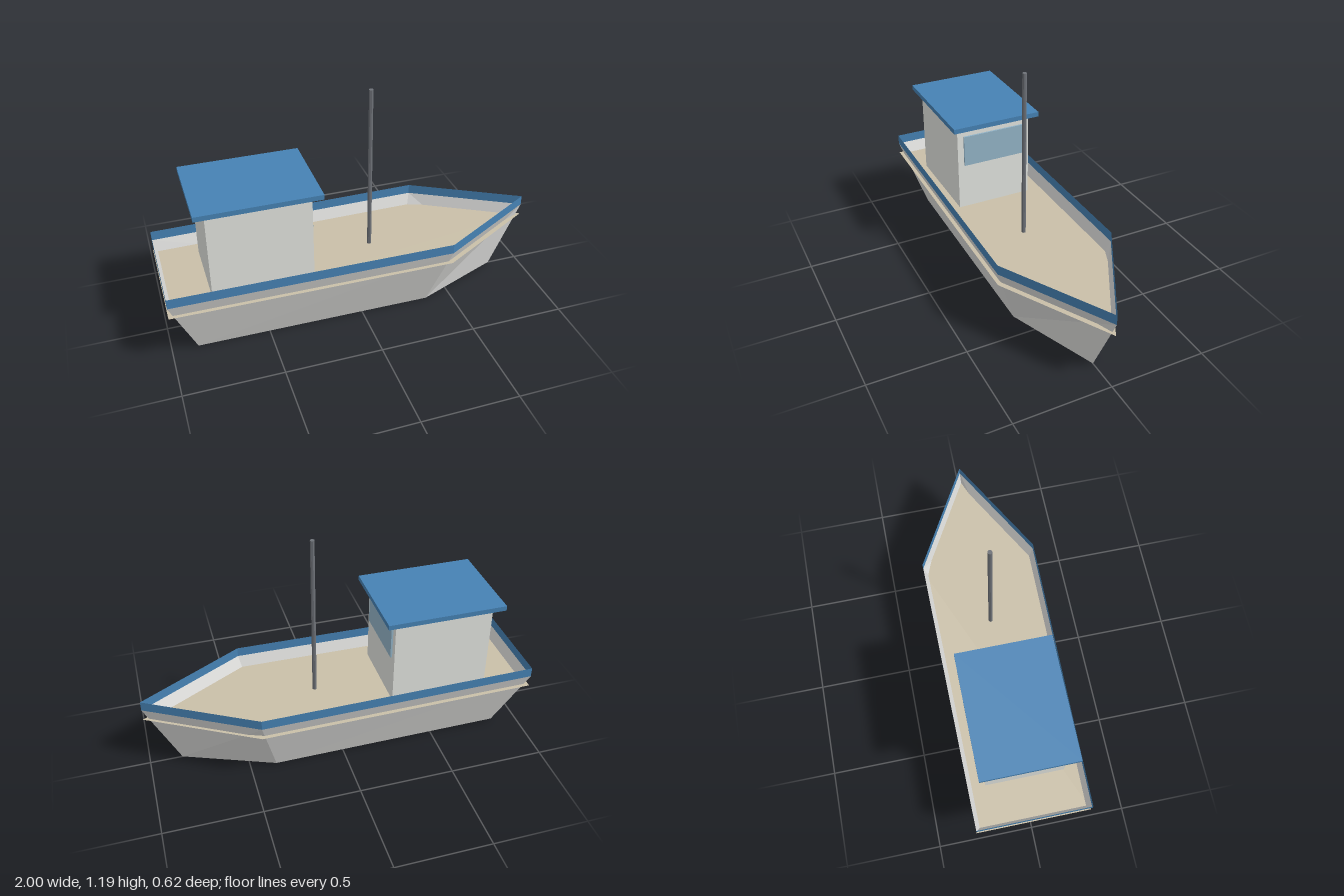
import * as THREE from 'three';

const mat = (name, color, side = THREE.FrontSide) => {
  const m = new THREE.MeshStandardMaterial({ color, side, flatShading: true });
  m.name = name;
  return m;
};

// Plan outline of the gunwale as [x, z]: stern, shoulder, bow, shoulder, stern
const OUTLINE = [[-1, 0.295], [0.45, 0.31], [1, 0], [0.45, -0.31], [-1, -0.295]];
const KEEL = OUTLINE.map(([x, z]) => [x * 0.85 - 0.018, z * 0.605]);
const DECK_Y = 0.3, HULL_TOP = 0.362, RAIL_TOP = 0.414;

// Open band of flat panels between two closed outlines
function band(lower, y0, upper, y1) {
  const p = [];
  lower.forEach((a, i) => {
    const j = (i + 1) % lower.length;
    const A = [a[0], y0, a[1]], B = [lower[j][0], y0, lower[j][1]];
    const C = [upper[j][0], y1, upper[j][1]], D = [upper[i][0], y1, upper[i][1]];
    p.push(...A, ...B, ...C, ...A, ...C, ...D);
  });
  const g = new THREE.BufferGeometry();
  g.setAttribute('position', new THREE.Float32BufferAttribute(p, 3));
  g.computeVertexNormals();
  return g;
}

// Box given by its minimum and maximum on each axis
function box(x0, x1, y0, y1, z0, z1) {
  return new THREE.BoxGeometry(x1 - x0, y1 - y0, z1 - z0)
    .translate((x0 + x1) / 2, (y0 + y1) / 2, (z0 + z1) / 2);
}

export function createModel() {
  const boat = new THREE.Group();
  boat.name = 'boat';
  const hullGrey = mat('hull grey', 0xdcdcda, THREE.DoubleSide);
  const trimBlue = mat('trim blue', 0x4682b4, THREE.DoubleSide);
  const deckTan = mat('deck tan', 0xc9bfa8, THREE.DoubleSide);
  const cabinWhite = mat('cabin off-white', 0xe2e4df);
  const glassBlue = mat('glass blue', 0x93b4c7);
  const mastGrey = mat('mast grey', 0x6e7278);

  const add = (name, geometry, material) => {
    const mesh = new THREE.Mesh(geometry, material);
    mesh.name = name;
    boat.add(mesh);
  };

  // Tapered hull shell, open below, with an upright rail band on top
  add('hull', band(KEEL, 0, OUTLINE, HULL_TOP), hullGrey);
  add('rail', band(OUTLINE, HULL_TOP, OUTLINE, RAIL_TOP), trimBlue);

  // Deck sheet, reaching slightly past the hull as a thin ledge
  const deck = new THREE.ShapeGeometry(
    new THREE.Shape(OUTLINE.map(([x, z]) => new THREE.Vector2(x, -z))));
  add('deck', deck.rotateX(-Math.PI / 2).translate(0, DECK_Y, 0), deckTan);

  // Wheelhouse
  add('cabin', box(-0.775, -0.26, DECK_Y, 0.776, -0.206, 0.206), cabinWhite);
  add('roof', box(-0.83, -0.21, 0.776, 0.802, -0.241, 0.241), trimBlue);
  add('windscreen', box(-0.26, -0.2505, 0.555, 0.725, -0.172, 0.172), glassBlue);

  // Mast
  const mast = new THREE.CylinderGeometry(0.0115, 0.0115, 1.19 - DECK_Y, 8);
  add('mast', mast.translate(0.102, (1.19 + DECK_Y) / 2, 0), mastGrey);

  return boat;
}
